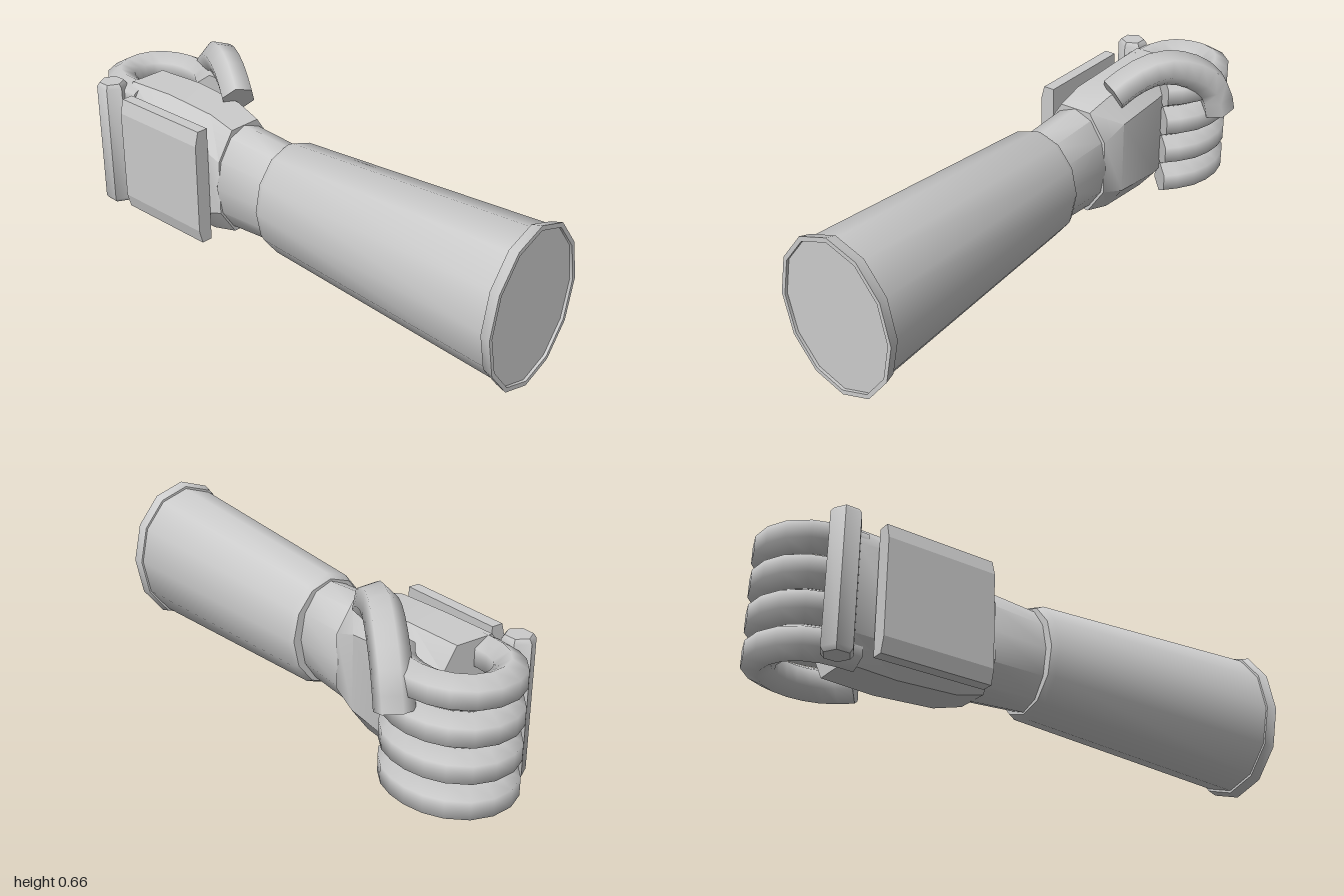
import * as THREE from 'three';
import { toCreasedNormals } from 'three/addons/utils/BufferGeometryUtils.js';

const V = (x, y, z) => new THREE.Vector3(x, y, z);

// Closed 12-sided elliptical ring, counter-clockwise seen from +z
function oval(z, rx, ry, cx = -0.07, cy = 0.293) {
  return Array.from({ length: 12 }, (_, i) => {
    const a = (i * Math.PI) / 6;
    return V(cx + rx * Math.cos(a), cy + ry * Math.sin(a), z);
  });
}

// Eight-sided ring with chamfered corners for the hand block
function octagon(z, x0, x1, y0, y1, top, side) {
  const cx = (x0 + x1) / 2, cy = (y0 + y1) / 2, w = (x1 - x0) / 2, h = (y1 - y0) / 2;
  return [[1, -side], [1, side], [top, 1], [-top, 1], [-1, side], [-1, -side], [-top, -1], [top, -1]]
    .map(([u, v]) => V(cx + u * w, cy + v * h, z));
}

// Skin a list of rings running from +z to -z and cap both ends
function loft(rings, crease = 0.8) {
  const n = rings[0].length, pts = rings.flat(), idx = [];
  for (let r = 0; r < rings.length - 1; r++) {
    for (let i = 0; i < n; i++) {
      const a = r * n + i, b = r * n + ((i + 1) % n);
      idx.push(a, a + n, b, b, a + n, b + n);
    }
  }
  const last = (rings.length - 1) * n;
  for (let i = 1; i < n - 1; i++) {
    idx.push(0, i, i + 1, last, last + i + 1, last + i);
  }
  const geo = new THREE.BufferGeometry().setFromPoints(pts);
  geo.setIndex(idx);
  return toCreasedNormals(geo, crease);
}

// Six-sided tube with flat end caps
function digit(points, radius, segments, material, name) {
  const group = new THREE.Group();
  group.name = name;
  const curve = new THREE.CatmullRomCurve3(points.map((p) => V(...p)));
  const tube = new THREE.TubeGeometry(curve, segments, radius, 6);
  const pos = tube.attributes.position;
  const caps = [];
  const at = (i) => V(0, 0, 0).fromBufferAttribute(pos, i);
  const last = segments * 7;
  for (let i = 1; i < 5; i++) {
    caps.push(at(0), at(i), at(i + 1), at(last), at(last + i + 1), at(last + i));
  }
  const capGeo = new THREE.BufferGeometry().setFromPoints(caps);
  capGeo.computeVertexNormals();
  for (const [geo, part] of [[tube, 'Body'], [capGeo, 'Ends']]) {
    const mesh = new THREE.Mesh(geo, material);
    mesh.name = name + part;
    group.add(mesh);
  }
  return group;
}

export function createModel() {
  const model = new THREE.Group();
  model.name = 'armoredForearm';
  const grey = new THREE.MeshStandardMaterial({ color: 0xcccccc });
  const add = (name, geo) => {
    const mesh = new THREE.Mesh(geo, grey);
    mesh.name = name;
    model.add(mesh);
    return mesh;
  };

  // Forearm sleeve with a raised, slightly recessed rim
  add('forearm', loft([
    oval(0.99, 0.217, 0.274), oval(1, 0.217, 0.274), oval(1, 0.231, 0.291),
    oval(0.962, 0.222, 0.28), oval(0.962, 0.215, 0.271),
    oval(0, 0.17, 0.214), oval(-0.025, 0.16, 0.2),
  ]));

  // Wrist
  add('wrist', loft([
    oval(0, 0.128, 0.19), oval(-0.24, 0.138, 0.206), oval(-0.25, 0.13, 0.196),
  ]));

  // Palm block
  add('palm', loft([
    octagon(-0.235, -0.2, 0.062, 0.09, 0.5, 0.48, 0.5),
    octagon(-0.34, -0.203, 0.075, 0.063, 0.528, 0.5, 0.6),
    octagon(-0.56, -0.2, 0.082, 0.055, 0.538, 0.52, 0.66),
    octagon(-0.755, -0.195, 0.056, 0.06, 0.535, 0.58, 0.66),
  ], 0.6));

  // Four curled fingers
  for (let i = 0; i < 4; i++) {
    const y = 0.108 + i * 0.1225;
    model.add(digit([
      [-0.122, y, -0.71], [-0.12, y, -0.82], [-0.075, y, -0.91], [0.015, y, -0.947],
      [0.105, y, -0.92], [0.16, y, -0.84], [0.172, y, -0.75], [0.15, y, -0.66], [0.09, y, -0.585],
    ], 0.061, 14, grey, 'finger' + (i + 1)));
  }

  // Thumb arching over the palm side
  model.add(digit([
    [0.015, 0.535, -0.352], [0.06, 0.585, -0.43], [0.115, 0.605, -0.53],
    [0.18, 0.565, -0.64], [0.225, 0.485, -0.72], [0.237, 0.385, -0.75],
  ], 0.064, 10, grey, 'thumb'));

  // Guard plate on the back of the hand, bevelled on its outer face
  const plate = new THREE.Shape([
    [-0.205, 0.07], [-0.205, 0.518], [-0.248, 0.518], [-0.262, 0.465], [-0.262, 0.123], [-0.248, 0.07],
  ].map(([x, y]) => new THREE.Vector2(x, y)));
  add('backPlate', new THREE.ExtrudeGeometry(plate, { depth: 0.405, bevelEnabled: false }))
    .position.z = -0.69;

  // Six-sided knuckle bar with eased ends
  const bar = new THREE.LatheGeometry(
    [[0, 0.045], [0.045, 0.045], [0.056, 0.06], [0.056, 0.525], [0.045, 0.54], [0, 0.54]]
      .map(([r, y]) => new THREE.Vector2(r, y)), 6);
  add('knuckleBar', toCreasedNormals(bar, 0.7)).position.set(-0.2, 0, -0.81);

  return model;
}
